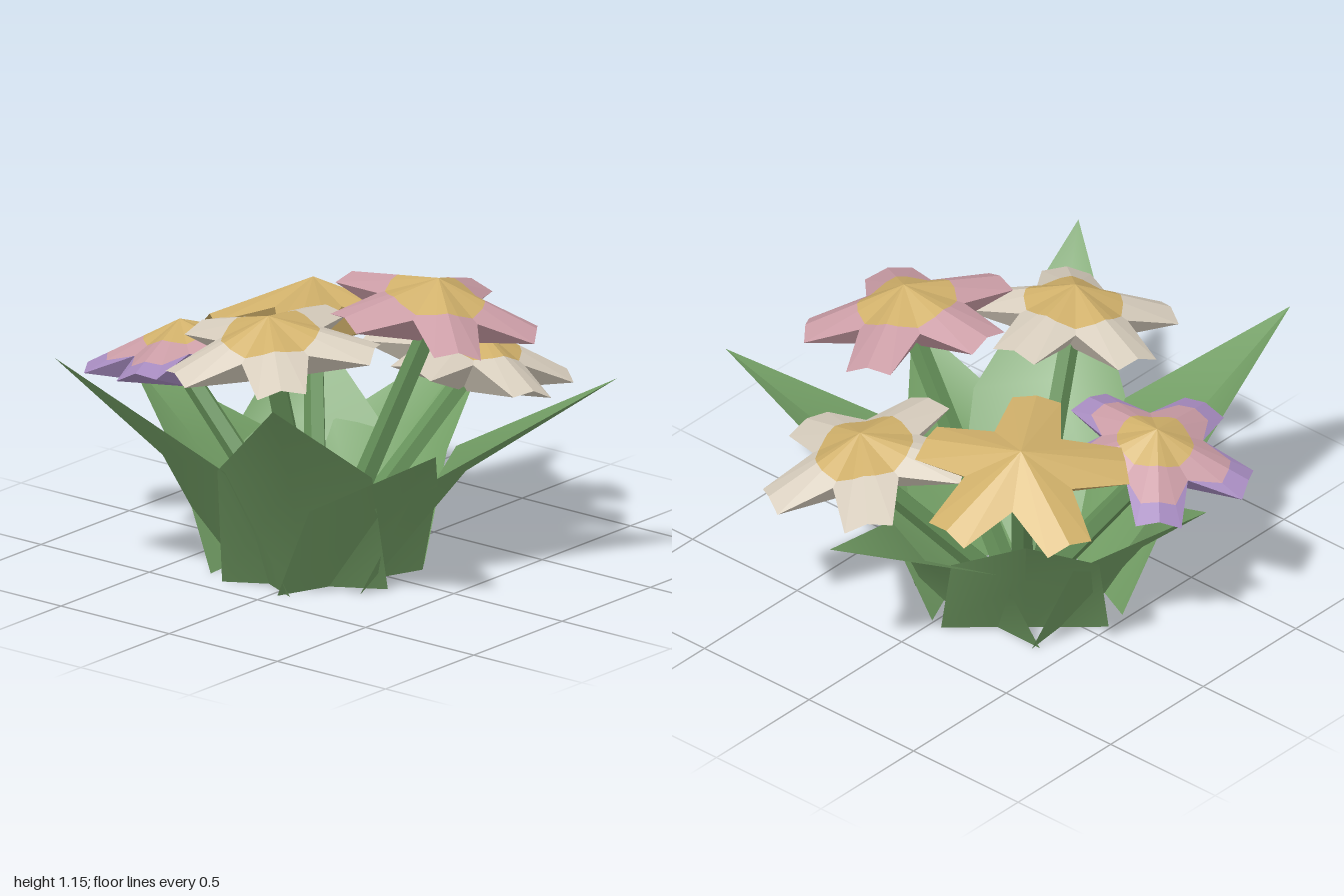
import * as THREE from 'three';

const paint = (name, color) => {
  const m = new THREE.MeshStandardMaterial({ color, side: THREE.DoubleSide });
  m.name = name;
  return m;
};

// Unindexed triangles give crisp low-poly facets
function facets(points) {
  const g = new THREE.BufferGeometry().setFromPoints(points);
  g.computeVertexNormals();
  return g;
}

// Five square-ended petals: a fan around the apex, closed below by a cone to the hub
function makeFlower({ name, apex, axis, phase, rings, under, size = 1 }) {
  const flower = new THREE.Group();
  flower.name = name;
  const outline = [];
  for (let k = 0; k < 5; k++) {
    const a = THREE.MathUtils.degToRad(phase + 72 * k);
    const at = (r, side, y, turn = 0) => {
      const c = Math.cos(a + turn), s = Math.sin(a + turn);
      return new THREE.Vector3((r * c - side * s) * size, y, (r * s + side * c) * size);
    };
    outline.push(at(0.38, -0.088, -0.15), at(0.38, 0, -0.125), at(0.38, 0.088, -0.15),
      at(0.205, 0, -0.1, Math.PI / 5));
  }
  const n = outline.length;
  const onRay = (i, r) => {
    const p = outline[i % n];
    return p.clone().multiplyScalar(Math.min(1, r / Math.hypot(p.x, p.z)));
  };
  // Coloured rings across the top
  let inner = 0;
  for (const [label, radius, material] of rings) {
    const tris = [];
    for (let i = 0; i < n; i++) {
      const a = onRay(i, inner), b = onRay(i + 1, inner);
      const c = onRay(i, radius), d = onRay(i + 1, radius);
      if (a.distanceTo(c) > 1e-4) tris.push(a, d, c);
      if (inner > 0 && b.distanceTo(d) > 1e-4) tris.push(a, b, d);
    }
    const mesh = new THREE.Mesh(facets(tris), material);
    mesh.name = label;
    flower.add(mesh);
    inner = radius;
  }
  // Underside
  const hub = new THREE.Vector3(0, -0.25, 0);
  const below = [];
  for (let i = 0; i < n; i++) below.push(hub, outline[i], outline[(i + 1) % n]);
  const calyx = new THREE.Mesh(facets(below), under);
  calyx.name = 'petalUnderside';
  flower.add(calyx);

  flower.position.set(...apex);
  flower.quaternion.setFromUnitVectors(new THREE.Vector3(0, 1, 0),
    new THREE.Vector3(...axis).normalize());
  return flower;
}

// Straight five-sided stem between two points
function makeStem(from, to, material) {
  const dir = to.clone().sub(from);
  const g = new THREE.CylinderGeometry(0.038, 0.044, dir.length(), 5).toNonIndexed();
  g.computeVertexNormals();
  const stem = new THREE.Mesh(g, material);
  stem.name = 'stem';
  stem.position.copy(from).addScaledVector(dir, 0.5);
  stem.quaternion.setFromUnitVectors(new THREE.Vector3(0, 1, 0), dir.normalize());
  return stem;
}

// Broad leaf: flat foot crossing its neighbours, folded middle, pointed tip
function makeLeaf(center, [tx, ty, tz], [midR, midY, half], material) {
  const out = new THREE.Vector3(tx - center.x, 0, tz - center.z);
  const tipR = out.length();
  out.normalize();
  const across = new THREE.Vector3(-out.z, 0, out.x);
  const sections = [ // radius, height, half width, inward fold of the edges
    [0.25, 0, 0.3, 0],
    [midR, midY, half, 0.11],
    [tipR, ty, 0, 0],
  ];
  const pts = [], index = [];
  sections.forEach(([r, y, w, fold], i) => {
    for (const s of [-1, 0, 1]) {
      const p = center.clone().addScaledVector(out, r - fold * Math.abs(s)).addScaledVector(across, w * s);
      p.y = y;
      pts.push(p);
    }
    if (i === 0) return;
    for (let j = 0; j < 2; j++) {
      const a = (i - 1) * 3 + j, b = a + 3;
      index.push(a, b, a + 1);
      if (w > 0) index.push(a + 1, b, b + 1);
    }
  });
  const g = new THREE.BufferGeometry().setFromPoints(pts);
  g.setIndex(index);
  g.computeVertexNormals();
  const leaf = new THREE.Mesh(g, material);
  leaf.name = 'leaf';
  return leaf;
}

export function createModel() {
  const model = new THREE.Group();
  model.name = 'flowerClump';
  const leafGreen = paint('leafGreen', 0x74a066);
  const stemGreen = paint('stemGreen', 0x67935b);
  const cream = paint('cream', 0xd8cebe);
  const gold = paint('gold', 0xd0b06a);
  const pink = paint('pink', 0xcb9da6);
  const purple = paint('purple', 0xa68bbf);
  const center = new THREE.Vector3(-0.05, 0, -0.1);

  // Leaves: tip, then middle radius, height and half width
  const leaves = [
    [[-1.0, 0.93, -0.53], [0.61, 0.5, 0.28]],
    [[-0.94, 0.91, 0.43], [0.61, 0.5, 0.28]],
    [[-0.36, 0.65, 0.71], [0.53, 0.36, 0.265]],
    [[0.4, 0.8, 0.93], [0.56, 0.4, 0.265]],
    [[0.99, 0.68, -0.09], [0.53, 0.38, 0.265]],
    [[0.54, 0.7, -0.63], [0.53, 0.38, 0.265]],
    [[-0.13, 0.64, -0.9], [0.52, 0.38, 0.265]],
  ];
  for (const [tip, middle] of leaves) model.add(makeLeaf(center, tip, middle, leafGreen));

  // Flowers: colour rings run from the centre outward
  const twoTone = (c) => [['flowerCenter', 0.18, gold], ['petals', 1, c]];
  const flowers = [
    { name: 'pinkFlower', apex: [0.06, 1.15, 0.38], axis: [0.05, 1, 0.18], phase: -90,
      rings: twoTone(pink), under: pink },
    { name: 'goldFlower', apex: [0.33, 0.92, -0.42], axis: [0.2, 1, -0.18], phase: 3,
      rings: [['petals', 1, gold]], under: gold },
    { name: 'leftCreamFlower', apex: [-0.45, 1.06, 0.01], axis: [-0.15, 1, 0], phase: -8,
      rings: twoTone(cream), under: cream },
    { name: 'rightCreamFlower', apex: [0.51, 0.82, 0.19], axis: [0.19, 1, 0.12], phase: 31,
      rings: twoTone(cream), under: cream },
    { name: 'purpleFlower', apex: [-0.18, 0.85, -0.62], axis: [0.03, 1, -0.2], phase: 26, size: 0.94,
      rings: [['flowerCenter', 0.14, gold], ['petals', 0.28, pink], ['petalTips', 1, purple]], under: purple },
  ];
  for (const spec of flowers) {
    const flower = makeFlower(spec);
    model.add(flower);
    // Stem from the middle of the clump to just inside the hub
    const top = new THREE.Vector3(0, -0.2, 0).applyQuaternion(flower.quaternion).add(flower.position);
    const foot = new THREE.Vector3(-0.04 + top.x * 0.12, 0.04, -0.08 + top.z * 0.12);
    model.add(makeStem(foot, top, stemGreen));
  }
  return model;
}
